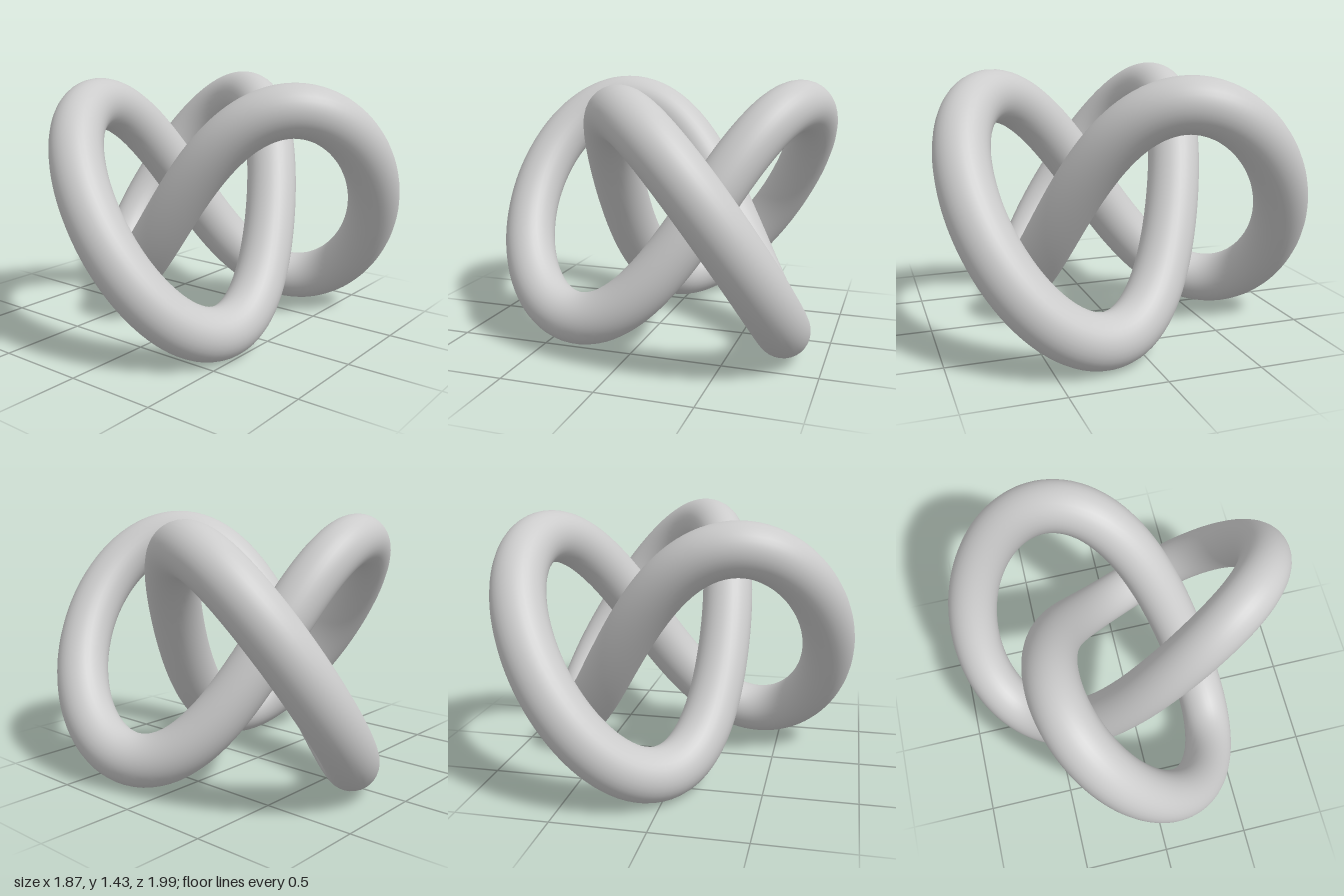
import * as THREE from 'three';

const TUBE_RADIUS = 0.143;

// Closed trefoil centreline with three-fold symmetry about a vertical axis
class TrefoilCurve extends THREE.Curve {
  getPoint(u, target = new THREE.Vector3()) {
    const t = u * Math.PI * 2;
    const { sin, cos } = Math;
    return target.set(
      0.1375 + 0.246 * cos(t) - 0.6265 * cos(2 * t) - 0.0135 * cos(4 * t) + 0.046 * cos(5 * t),
      0.717 + 0.574 * sin(3 * t),
      0.246 * sin(t) + 0.6265 * sin(2 * t) - 0.0135 * sin(4 * t) - 0.046 * sin(5 * t)
    );
  }
}

export function createModel() {
  const model = new THREE.Group();
  model.name = 'trefoilKnot';

  // One continuous round tube
  const tube = new THREE.Mesh(
    new THREE.TubeGeometry(new TrefoilCurve(), 300, TUBE_RADIUS, 32, true),
    new THREE.MeshStandardMaterial({ color: 0xcccccc })
  );
  tube.name = 'knotTube';
  model.add(tube);
  return model;
}
